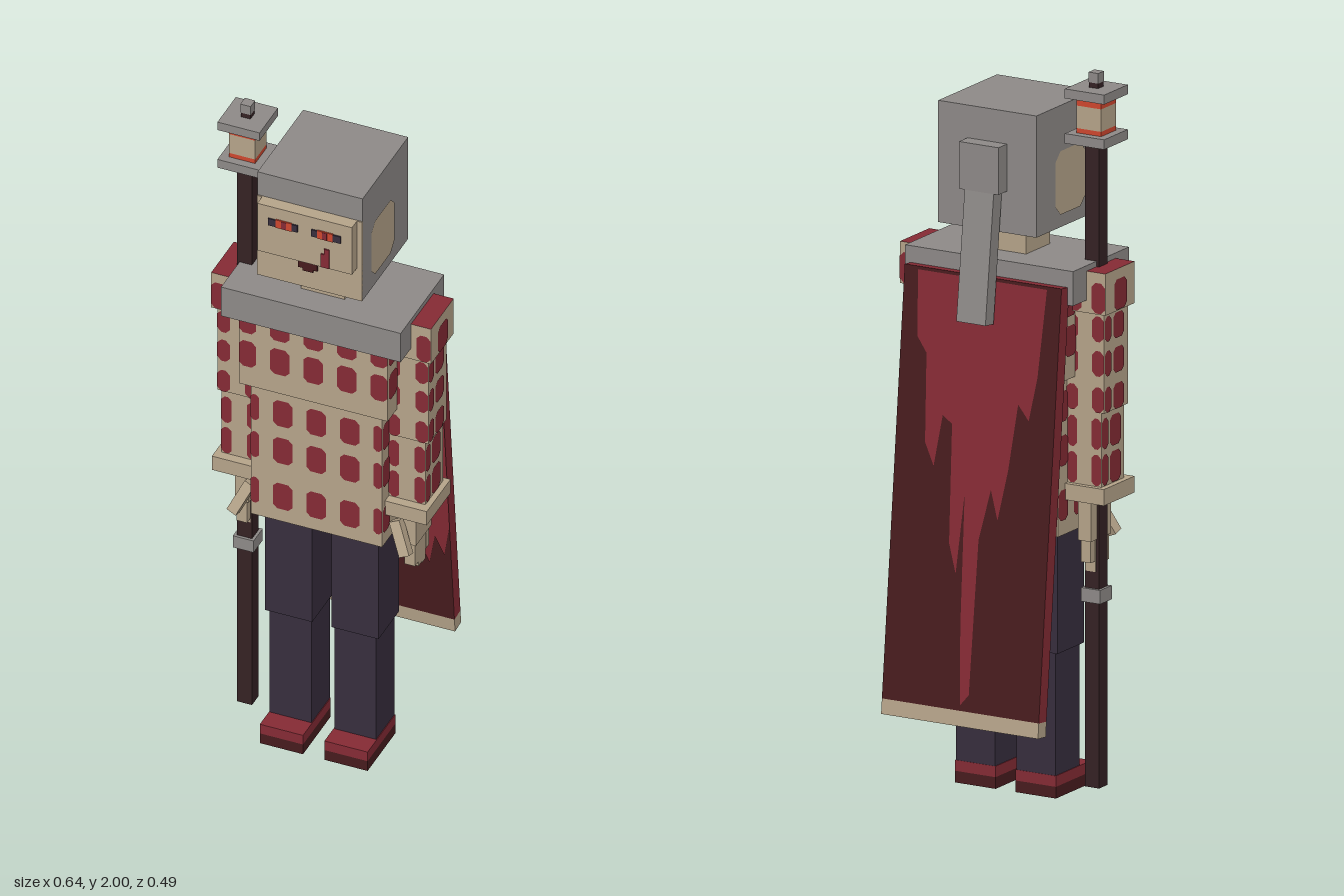
import * as THREE from 'three';

const mat = (name, color, side = THREE.FrontSide) => {
  const m = new THREE.MeshStandardMaterial({ color, side });
  m.name = name;
  return m;
};

export function createModel() {
  const tan = mat('tan', 0xb7a58b), grey = mat('grey', 0x8f8b89), red = mat('red', 0x862b35);
  const darkRed = mat('darkRed', 0x481c1e), navy = mat('navy', 0x382e3e);
  const wood = mat('darkWood', 0x352224), glow = mat('orangeRed', 0xd0472f);
  const model = new THREE.Group();
  model.name = 'figure';

  const group = (name, parent = model) => {
    const g = new THREE.Group();
    g.name = name;
    parent.add(g);
    return g;
  };
  // Box from its limits: [x0, x1, y0, y1, z0, z1]
  const box = (name, [x0, x1, y0, y1, z0, z1], m, parent = model) => {
    const b = new THREE.Mesh(new THREE.BoxGeometry(x1 - x0, y1 - y0, z1 - z0), m);
    b.position.set((x0 + x1) / 2, (y0 + y1) / 2, (z0 + z1) / 2);
    b.name = name;
    parent.add(b);
    return b;
  };
  // Limits mirrored to the given side
  const sided = (s, [a, b, ...rest]) => (s > 0 ? [a, b, ...rest] : [-b, -a, ...rest]);

  // Flat patch with cut corners
  const patchShape = (u0, u1, v0, v1, c) => new THREE.Shape([
    [u0 + c, v0], [u1 - c, v0], [u1, v0 + c], [u1, v1 - c],
    [u1 - c, v1], [u0 + c, v1], [u0, v1 - c], [u0, v0 + c],
  ].map(p => new THREE.Vector2(...p)));
  const flat = (name, shape, m, parent, pos, turn = 0) => {
    const p = new THREE.Mesh(new THREE.ShapeGeometry(shape), m);
    p.name = name;
    p.position.set(...pos);
    p.rotation.y = turn;
    parent.add(p);
  };

  // Rows of cloth spots around the four upright faces of a box
  const spots = (lim, rows, parent, { front, side, w = 0.056, h = 0.084 }) => {
    const [x0, x1, y0, y1, z0, z1] = lim;
    const cx = (x0 + x1) / 2, cz = (z0 + z1) / 2, hx = (x1 - x0) / 2, hz = (z1 - z0) / 2;
    const e = 0.002;
    const faces = [
      [0, [cx, 0, z1 + e], hx, front], [Math.PI, [cx, 0, z0 - e], hx, front],
      [Math.PI / 2, [x1 + e, 0, cz], hz, side], [-Math.PI / 2, [x0 - e, 0, cz], hz, side],
    ];
    for (const [turn, pos, half, cols] of faces) for (const y of rows) for (const c of cols) {
      const u0 = Math.max(c - w / 2, -half), u1 = Math.min(c + w / 2, half);
      const v0 = Math.max(y - h / 2, y0), v1 = Math.min(y + h / 2, y1);
      if (u1 - u0 < 0.012 || v1 - v0 < 0.012) continue;
      const cut = Math.min(0.012, (u1 - u0) / 3, (v1 - v0) / 3);
      flat('clothSpot', patchShape(u0, u1, v0, v1, cut), red, parent, pos, turn);
    }
  };

  // Head: hood with a tan lower front and tan underside
  const head = group('head');
  box('hood', [-0.152, 0.152, 1.565, 1.9, -0.095, 0.207], [grey, grey, grey, tan, grey, grey], head);
  box('faceFront', [-0.152, 0.152, 1.565, 1.825, 0.206, 0.211], tan, head);
  box('mask', [-0.137, 0.137, 1.67, 1.825, 0.211, 0.243], tan, head);
  box('neck', [-0.063, 0.063, 1.44, 1.57, 0, 0.122], tan, head);
  for (const s of [-1, 1]) {
    flat('cheek', patchShape(-0.076, 0.076, 1.6, 1.775, 0.025), tan, head,
      [s * 0.154, 0, 0.077], s * Math.PI / 2);
    box('eyeCorner', sided(s, [0.02, 0.037, 1.765, 1.787, 0.243, 0.247]), navy, head);
    box('eye', sided(s, [0.037, 0.083, 1.763, 1.789, 0.243, 0.247]), glow, head);
    box('pupil', sided(s, [0.052, 0.066, 1.765, 1.787, 0.247, 0.248]), red, head);
    box('eyeCorner', sided(s, [0.083, 0.105, 1.765, 1.787, 0.243, 0.247]), navy, head);
  }
  box('tear', [0.048, 0.072, 1.672, 1.715, 0.243, 0.247], red, head);
  box('tearTop', [0.057, 0.072, 1.715, 1.733, 0.243, 0.247], red, head);
  box('mouth', [-0.032, 0.024, 1.628, 1.65, 0.211, 0.215], darkRed, head);
  box('mouthLower', [-0.018, 0.012, 1.62, 1.628, 0.211, 0.215], darkRed, head);

  // Hair knot and hanging tail
  box('hairKnot', [-0.061, 0.061, 1.68, 1.81, -0.139, -0.095], grey, head);
  const tail = box('hairTail', [-0.045, 0.045, 1.323, 1.683, -0.158, -0.116], grey, head);
  tail.rotation.x = 0.12;

  // Torso
  const torso = group('torso');
  const belly = [-0.19, 0.19, 0.735, 1.2, -0.047, 0.165];
  const chest = [-0.215, 0.215, 1.17, 1.42, -0.058, 0.185];
  box('tunic', belly, tan, torso);
  box('chest', chest, tan, torso);
  const columns = [-0.194, -0.097, 0, 0.097, 0.194];
  spots(belly, [1.09, 0.968, 0.818], torso, { front: columns, side: [-0.085, 0, 0.085] });
  spots(chest, [1.385, 1.275], torso, { front: columns, side: [-0.09, 0, 0.09] });
  box('collar', [-0.26, 0.26, 1.39, 1.485, -0.086, 0.202], grey, torso);

  for (const s of [-1, 1]) {
    const side = s > 0 ? 'left' : 'right';

    // Sleeves
    const arm = group(side + 'Arm');
    const shoulder = sided(s, [0.2, 0.318, 1.355, 1.47, -0.016, 0.134]);
    const upper = sided(s, [0.188, 0.305, 1.08, 1.42, 0, 0.122]);
    const fore = sided(s, [0.19, 0.295, 0.87, 1.08, 0.003, 0.119]);
    box('shoulder', shoulder, [tan, tan, red, tan, tan, tan], arm);
    box('upperSleeve', upper, tan, arm);
    box('lowerSleeve', fore, tan, arm);
    const cols = { front: [-0.05, 0.05], side: [-0.055, 0.01] };
    spots(shoulder, [1.4], arm, { front: [-0.045, 0.05], side: [0], w: 0.064 });
    spots(upper, [1.31, 1.215, 1.115], arm, { ...cols, h: 0.07 });
    spots(fore, [1.02, 0.92], arm, { ...cols, h: 0.085 });
    box('cuff', sided(s, [0.182, 0.311, 0.83, 0.875, -0.012, 0.146]), tan, arm);

    // Hand with four fingers and a thumb
    const hand = group(side + 'Hand', arm);
    box('palm', sided(s, [0.222, 0.262, 0.72, 0.83, 0.003, 0.106]), tan, hand);
    [0.66, 0.63, 0.635, 0.65].forEach((y, i) => {
      const z = 0.008 + i * 0.024;
      box('finger', sided(s, [0.228, 0.258, y, 0.725, z, z + 0.023]), tan, hand);
    });
    const thumb = box('thumb', sided(s, [0.215, 0.245, 0.705, 0.805, 0.115, 0.145]), tan, hand);
    thumb.rotation.set(-0.3, 0, s * 0.42);

    // Leg and shoe
    const leg = group(side + 'Leg');
    box('thigh', sided(s, [0.028, 0.164, 0.4, 0.74, -0.006, 0.129]), navy, leg);
    box('shin', sided(s, [0.033, 0.154, 0.06, 0.4, 0, 0.122]), navy, leg);
    box('shoeUpper', sided(s, [0.031, 0.156, 0.032, 0.062, -0.001, 0.183]), red, leg);
    box('sole', sided(s, [0.031, 0.156, 0, 0.032, -0.001, 0.183]), darkRed, leg);
  }

  // Slanted cape with pale hem and running stains on both faces
  const cape = group('cape');
  cape.position.set(0, 0.835, -0.157);
  cape.rotation.x = 0.1;
  box('capeCloth', [-0.243, 0.243, -0.566, 0.608, -0.02, 0.02],
    [red, red, red, darkRed, darkRed, darkRed], cape);
  box('capeHem', [-0.243, 0.243, -0.608, -0.566, -0.02, 0.02], tan, cape);
  const outline = pts => new THREE.Shape(pts.map(p => new THREE.Vector2(...p)));
  const backStain = outline([
    [-0.2, 0.6], [-0.19, 0.42], [-0.16, 0.38], [-0.15, 0.14], [-0.12, 0.08], [-0.1, 0.22],
    [-0.07, 0.2], [-0.06, -0.12], [-0.035, -0.2], [-0.02, 0.02], [-0.012, -0.34], [0, -0.55],
    [0.025, -0.52], [0.03, -0.1], [0.06, 0.04], [0.085, -0.04], [0.11, 0.1], [0.13, 0.28],
    [0.165, 0.24], [0.185, 0.36], [0.2, 0.6],
  ]);
  flat('capeBackStain', backStain, red, cape, [0, 0, -0.023], Math.PI);
  const frontStain = outline([
    [-0.243, 0.6], [-0.243, -0.36], [-0.22, -0.4], [-0.2, -0.3], [-0.17, -0.42], [-0.14, -0.26],
    [-0.1, -0.2], [-0.03, -0.24], [0, -0.3], [0.02, -0.16], [0.1, -0.2], [0.15, -0.3],
    [0.18, -0.38], [0.2, -0.28], [0.225, -0.34], [0.243, -0.24], [0.243, 0.6],
  ]);
  flat('capeFrontStain', frontStain, red, cape, [0, 0, 0.023]);

  // Staff with a lantern head
  const staff = group('staff');
  staff.position.set(-0.246, 0, 0.057);
  const rod = (name, r, y0, y1, m) => box(name, [-r, r, y0, y1, -r, r], m, staff);
  rod('shaft', 0.022, 0.035, 1.81, wood);
  rod('shaftRing', 0.03, 0.545, 0.583, grey);
  rod('lowerPlate', 0.061, 1.808, 1.835, grey);
  rod('lowerBand', 0.038, 1.835, 1.848, glow);
  rod('lantern', 0.038, 1.848, 1.91, tan);
  rod('upperBand', 0.038, 1.91, 1.927, glow);
  rod('upperPlate', 0.061, 1.932, 1.958, grey);
  rod('lanternNeck', 0.036, 1.927, 1.932, tan);
  rod('tipBase', 0.014, 1.958, 1.972, wood);
  rod('tip', 0.015, 1.972, 2, grey);

  return model;
}
